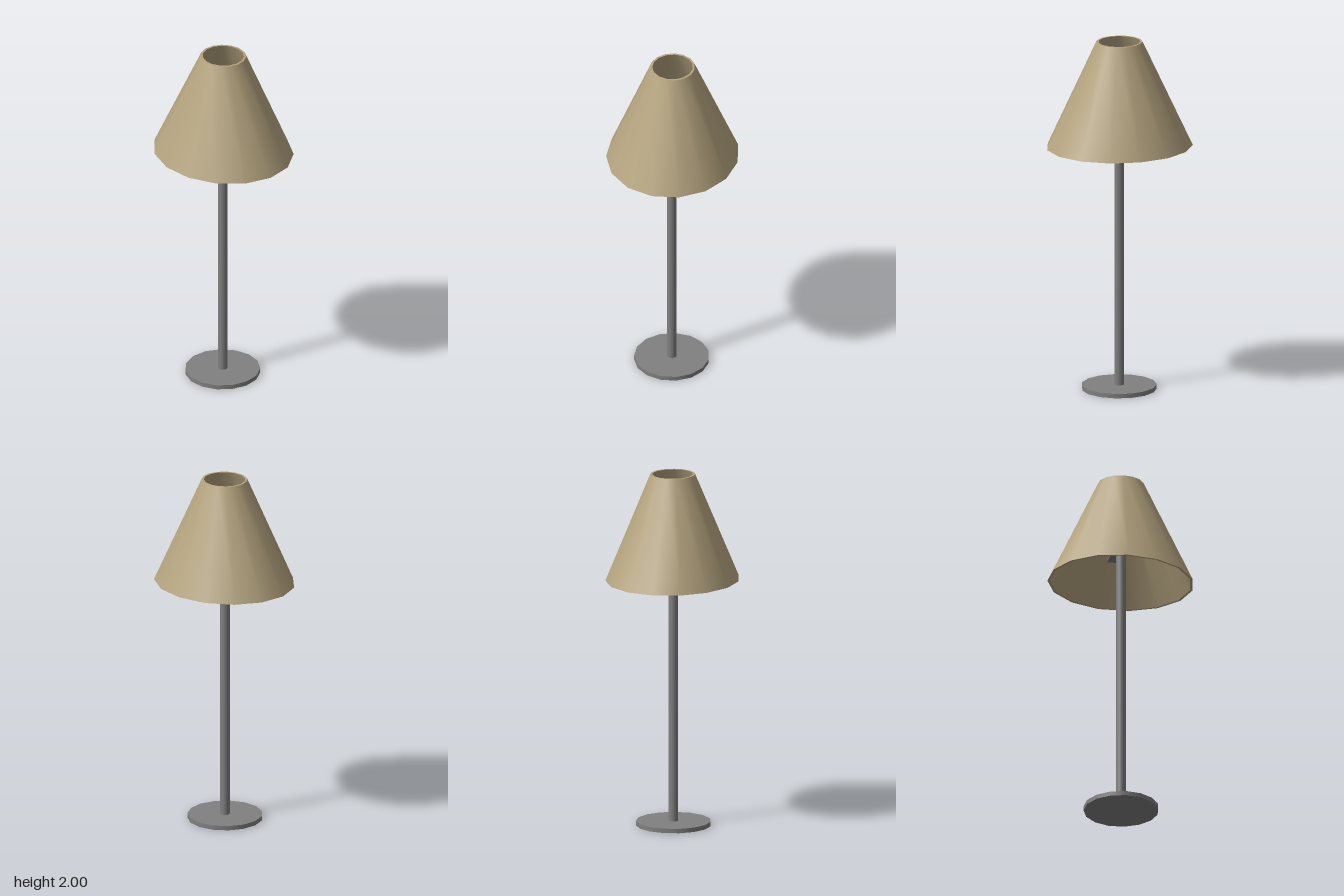
import * as THREE from 'three';

const SIDES = 15;

function paint(name, color) {
  const material = new THREE.MeshStandardMaterial({ color });
  material.name = name;
  return material;
}

export function createModel() {
  const lamp = new THREE.Group();
  lamp.name = 'floorLamp';
  const linen = paint('linen', 0xb5a47f);
  const metal = paint('greyMetal', 0x808080);

  function add(parent, name, geometry, material, x = 0, y = 0, z = 0) {
    const mesh = new THREE.Mesh(geometry, material);
    mesh.name = name;
    mesh.position.set(x, y, z);
    parent.add(mesh);
    return mesh;
  }

  // Base disc and pole
  const base = new THREE.CylinderGeometry(0.209, 0.209, 0.025, SIDES, 1, false, Math.PI / 2);
  add(lamp, 'base', base, metal, -0.01, 0.0125, 0);
  const pole = new THREE.CylinderGeometry(0.027, 0.027, 1.62, SIDES, 1, false, Math.PI / 2);
  add(lamp, 'pole', pole, metal, -0.009, 0.835, 0);

  // Knob on the tip of the pole
  add(lamp, 'knob', new THREE.SphereGeometry(0.024, 14, 10), linen, -0.008, 1.66, 0);

  // Four flat arms carrying the shade
  const arms = new THREE.Group();
  arms.name = 'shadeSupport';
  arms.position.set(-0.008, 1.637, 0);
  arms.rotation.y = -0.14;
  for (let i = 0; i < 4; i++) {
    const pivot = new THREE.Group();
    pivot.rotation.y = (i * Math.PI) / 2;
    add(pivot, 'supportArm', new THREE.BoxGeometry(0.24, 0.012, 0.06), metal, 0.12, 0, 0);
    arms.add(pivot);
  }
  lamp.add(arms);

  // Tapered shade: one faceted ring per wall or rim, so the rims stay sharp
  const shade = new THREE.Group();
  shade.name = 'shade';
  shade.position.x = -0.005;
  const profile = [[0.368, 1.4], [0.125, 2], [0.113, 2], [0.356, 1.4]];
  ['outerWall', 'topRim', 'innerWall', 'bottomRim'].forEach((name, i) => {
    const points = [profile[i], profile[(i + 1) % 4]].map((p) => new THREE.Vector2(...p));
    const ring = new THREE.LatheGeometry(points, SIDES, Math.PI / 2);
    const { position, normal } = ring.attributes;
    // Oval plan, strongest at the bottom
    for (let v = 0; v < position.count; v++) {
      const stretch = THREE.MathUtils.mapLinear(position.getY(v), 1.4, 2, 1.12, 1.035);
      position.setZ(v, position.getZ(v) * stretch);
      normal.setZ(v, normal.getZ(v) / stretch);
    }
    ring.normalizeNormals();
    add(shade, name, ring, linen);
  });
  lamp.add(shade);

  return lamp;
}
